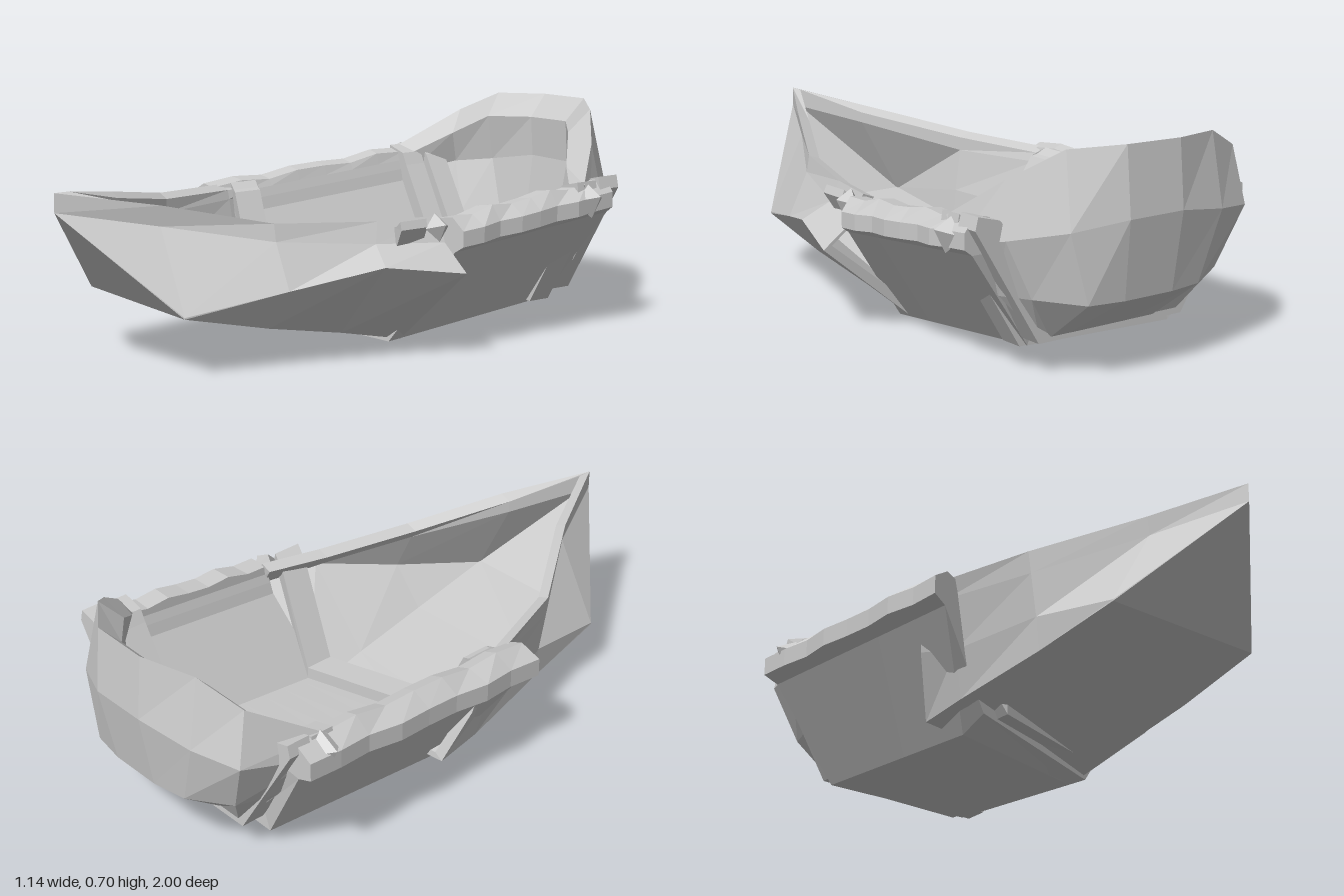
import * as THREE from 'three';

const material = new THREE.MeshStandardMaterial({ color: 0xcccccc, flatShading: true });

// Lofts closed U-shaped rings (outer points, then inner points back again) and caps both ends.
function loft(name, rings) {
  const n = rings[0].length, pos = [];
  const quad = (a, b, c, d) => pos.push(...a, ...b, ...c, ...a, ...c, ...d);
  for (let s = 0; s < rings.length - 1; s++) {
    for (let i = 0; i < n; i++) {
      const j = (i + 1) % n;
      quad(rings[s][i], rings[s][j], rings[s + 1][j], rings[s + 1][i]);
    }
  }
  const first = rings[0], last = rings[rings.length - 1];
  for (let i = 0; i < n / 2 - 1; i++) {
    quad(first[i], first[n - 1 - i], first[n - 2 - i], first[i + 1]);
    quad(last[i], last[i + 1], last[n - 2 - i], last[n - 1 - i]);
  }
  // Turn the faces outward by the sign of the enclosed volume.
  const a = new THREE.Vector3(), b = new THREE.Vector3(), c = new THREE.Vector3();
  let volume = 0;
  for (let k = 0; k < pos.length; k += 9) {
    volume += a.fromArray(pos, k).dot(b.fromArray(pos, k + 3).cross(c.fromArray(pos, k + 6)));
  }
  if (volume < 0) {
    for (let k = 0; k < pos.length; k += 9) {
      const t = pos.slice(k + 3, k + 6);
      for (let m = 0; m < 3; m++) { pos[k + 3 + m] = pos[k + 6 + m]; pos[k + 6 + m] = t[m]; }
    }
  }
  const g = new THREE.BufferGeometry();
  g.setAttribute('position', new THREE.Float32BufferAttribute(pos, 3));
  g.computeVertexNormals();
  const mesh = new THREE.Mesh(g, material);
  mesh.name = name;
  return mesh;
}

// Bow: each station runs from the right rim under the keel to the left rim.
function bow() {
  const stations = [
    [[-.16, .525, .72], [-.15, .465, .72], [-.3, .205, .72], [-.3, .2, .72],
      [.26, .2, .72], [.26, .205, .72], [.13, .46, .72], [.14, .525, .72]],
    [[-.37, .46, .42], [-.36, .39, .42], [-.34, .25, .42], [-.33, .14, .42],
      [.26, .13, .42], [.37, .265, .42], [.3, .405, .42], [.29, .46, .42]],
    [[-.47, .445, .12], [-.45, .39, .12], [-.41, .23, .12], [-.375, .08, .1],
      [.25, .075, .14], [.49, .325, .15], [.4, .38, .12], [.38, .445, .1]],
    [[-.48, .44, .03], [-.48, .39, .03], [-.455, .25, 0], [-.385, .055, -.06],
      [.24, .02, -.1], [.57, .29, -.1], [.46, .37, -.1], [.43, .45, -.11]],
  ];
  const rings = stations.map((outer) => {
    const inner = outer.map(([x, y, z], i) => {
      const rim = i === 0 || i === 7, bottom = i === 3 || i === 4;
      return [x - Math.sign(x) * (rim ? .04 : .03), y + (rim ? -.015 : bottom ? .02 : .01), z];
    });
    return [...outer, ...inner.reverse()];
  });
  const tip = rings[0].map((_, i) => {
    const rim = i === 0 || i === 7 || i === 8 || i === 15;
    return [-.01, rim ? .57 : .51, i < 8 ? 1 : .95];
  });
  return loft('bow', [tip, ...rings]);
}

// Middle hull: slanted front edge, gently uneven planking and a stepped gunwale.
function midHull() {
  const rings = [];
  for (let s = 0; s <= 8; s++) {
    const t = s / 8, w = .008 * Math.sin(s * 2.3), rise = .06 * t, lip = s === 0 ? .045 : 0;
    const p = (x, y, back = -.75) => [x, y + rise, THREE.MathUtils.lerp(.03 - .3 * x, back, t)];
    rings.push([
      p(-.49, .45 + w), p(-.55 + w, .41), p(-.55 + w, .35), p(-.5, .33), p(-.3, lip + .003, -.7),
      p(.25, .02, -.7), p(.49, .34), p(.52 + w, .36), p(.52 + w, .41), p(.48, .45 - w),
      p(.42, .44 - w), p(.42, .41), p(.41, .38), p(.4, .34), p(.23, .08, -.7),
      p(-.27, .08, -.7), p(-.42, .34), p(-.43, .38), p(-.44, .41), p(-.45, .44 + w),
    ]);
  }
  return loft('middleHull', rings);
}

// Cross rib following the hull; skew slants its floor, with the arms bending back again.
function rib(name, z, depth, { y, grow, thick, rim, skew = 0 }) {
  const half = [[.49 + grow, rim], [.5 + grow, .4 + y], [.27 + grow, .03 + y]];
  const inner = [[.23, .03 + y + thick], [.4, .4 + y], [.42, rim - .02]];
  const ring = (zc) => {
    const p = (side) => ([px, v]) => {
      const x = side * px, m = THREE.MathUtils.clamp(x, -.25, .25);
      return [x, v, zc + skew * (2 * m - x)];
    };
    const r = [...half].reverse(), ir = [...inner].reverse();
    return [...half.map(p(-1)), ...r.map(p(1)), ...ir.map(p(1)), ...inner.map(p(-1))];
  };
  return loft(name, [ring(z + depth / 2), ring(z - depth / 2)]);
}

// Stern: rounded, raised scoop lofted from one side to the other.
function stern() {
  const rim = [[-.5, .5, -.64], [-.4, .63, -.86], [-.26, .7, -.92], [-.08, .71, -.98],
    [.12, .715, -.98], [.26, .7, -.88], [.39, .61, -.77], [.5, .5, -.64]];
  const belt = [[-.49, .42, -.68], [-.42, .45, -.9], [-.27, .47, -.96], [-.08, .5, -1],
    [.12, .5, -1], [.28, .47, -.93], [.41, .44, -.8], [.49, .42, -.68]];
  const low = [[-.38, .26, -.73], [-.34, .26, -.86], [-.2, .25, -.94], [-.08, .25, -.96],
    [.1, .25, -.96], [.22, .25, -.94], [.33, .26, -.82], [.38, .26, -.73]];
  const bottomX = [-.26, -.25, -.16, -.06, .08, .16, .23, .26];
  const shrink = ([x, y, z], dy, dz, end) => [x * .89, y + dy, z + (end ? .01 : dz)];
  return loft('stern', rim.map((r, i) => {
    const end = i === 0 || i === 7;
    const bottom = [bottomX[i], .12, end ? -.77 : -.78];
    return [r, belt[i], low[i], bottom,
      shrink(bottom, .05, .02, end), shrink(low[i], .02, .07, end),
      shrink(belt[i], 0, .08, end), shrink(r, end ? -.03 : -.075, .07, end)];
  }));
}

export function createModel() {
  const model = new THREE.Group();
  model.name = 'boat';
  model.add(bow(), midHull(), stern());

  // Frames where the three hull sections meet
  model.add(
    rib('frontFrame', .03, .1, { skew: -.3, thick: .07, rim: .45, y: .025, grow: -.04 }),
    rib('rearFrame', -.655, .08, { y: .05, grow: .005, thick: .08, rim: .51 }),
    rib('sternFrame', -.745, .08, { y: .08, grow: .005, thick: .09, rim: .52 }),
  );

  // Rough joint blocks on the gunwales
  const joint = (name, x, y, z, size) => {
    const block = new THREE.Mesh(new THREE.OctahedronGeometry(size), material);
    block.name = name;
    block.position.set(x, y, z);
    block.rotation.z = Math.sign(x) * .3;
    model.add(block);
  };
  joint('rightRearJoint', -.51, .46, -.66, .06);
  joint('leftRearJoint', .5, .45, -.66, .06);
  joint('leftFrontJoint', .46, .42, -.07, .045);
  return model;
}
